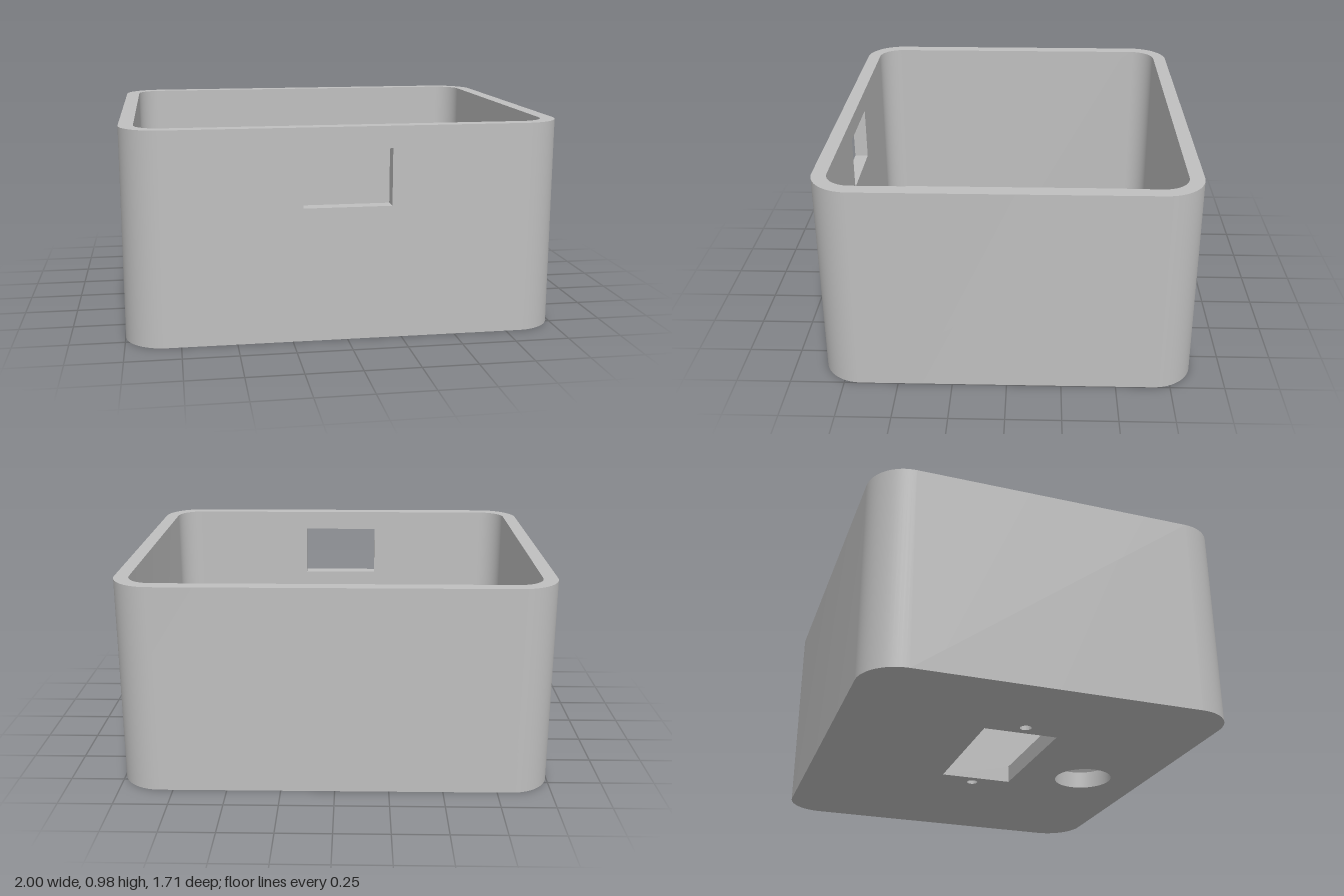
import * as THREE from 'three';
import { toCreasedNormals } from 'three/addons/utils/BufferGeometryUtils.js';

const HX = 1, HZ = 0.857, H = 0.975, R = 0.187; // outer half sizes, height, corner radius
const WALL = 0.067, FLOOR = 0.085;

// Plan points use (x, -z). Arc and outlines run counter-clockwise.
function arc(cx, cy, r, from, sweep, steps) {
  return Array.from({ length: steps + 1 }, (_, i) => {
    const a = from + (sweep * i) / steps;
    return new THREE.Vector2(cx + r * Math.cos(a), cy + r * Math.sin(a));
  });
}

// Rounded rectangle, open along its front edge
function roundedOutline(hx, hz, r) {
  const x = hx - r, y = hz - r, q = Math.PI / 2;
  return [[x, -y], [x, y], [-x, y], [-x, -y]].flatMap(
    ([cx, cy], i) => arc(cx, cy, r, (i - 1) * q, q, 16));
}

function rectangle(x0, x1, y0, y1) {
  return [[x0, y0], [x1, y0], [x1, y1], [x0, y1]].map(([x, y]) => new THREE.Vector2(x, y));
}

const circle = (x, y, r, steps) => arc(x, y, r, 0, Math.PI * 2, steps);

// Upright strip of faces along a path; counter-clockwise paths face outward
function band(points, y0, y1) {
  const pos = [];
  for (let i = 0; i < points.length - 1; i++) {
    const p = points[i], q = points[i + 1];
    pos.push(p.x, y0, -p.y, q.x, y0, -q.y, q.x, y1, -q.y);
    pos.push(p.x, y0, -p.y, q.x, y1, -q.y, p.x, y1, -p.y);
  }
  const g = new THREE.BufferGeometry();
  g.setAttribute('position', new THREE.Float32BufferAttribute(pos, 3));
  return toCreasedNormals(g, 0.6);
}

const closedLoop = (points) => [...points, points[0]];
const reversed = (points) => [...points].reverse();

// Flat sheet with holes, optionally facing backward
function sheet(outline, holes = [], flip = false) {
  const shape = new THREE.Shape(outline);
  shape.holes = holes.map((h) => new THREE.Path(h));
  const g = new THREE.ShapeGeometry(shape);
  if (flip) {
    g.setIndex(Array.from(g.index.array).reverse());
    g.computeVertexNormals();
  }
  return g;
}

export function createModel() {
  const group = new THREE.Group();
  group.name = 'enclosure';
  const grey = new THREE.MeshStandardMaterial({ color: 0xbfbfbf });
  grey.name = 'grey plastic';
  const add = (name, geometry) => {
    const mesh = new THREE.Mesh(geometry, grey);
    mesh.name = name;
    group.add(mesh);
  };
  const level = (g, y) => g.rotateX(-Math.PI / 2).translate(0, y, 0);

  const outer = roundedOutline(HX, HZ, R);
  const inner = roundedOutline(HX - WALL, HZ - WALL, R - WALL);
  const windowHole = rectangle(-0.2, 0.2, 0.615, 0.875);
  const floorHoles = [
    rectangle(-0.49, 0.175, -0.18, 0.18),
    circle(0, -0.53, 0.145, 48),
    circle(-0.555, 0, 0.028, 24),
    circle(0.24, 0, 0.028, 24),
  ];

  // Side and back walls, then the top rim
  add('outerWalls', band(outer, 0, H));
  add('innerWalls', band(reversed(inner), FLOOR, H));
  add('rim', level(sheet(outer, [inner]), H));

  // Front wall with its window
  const fx = HX - R;
  add('frontOuterFace', sheet(rectangle(-fx, fx, 0, H), [windowHole]).translate(0, 0, HZ));
  add('frontInnerFace',
    sheet(rectangle(-fx, fx, FLOOR, H), [windowHole], true).translate(0, 0, HZ - WALL));
  add('windowEdges',
    band(reversed(closedLoop(windowHole)), HZ - WALL, HZ).rotateX(Math.PI / 2));

  // Floor with a rectangular cutout, a round opening and two screw holes
  add('underside', level(sheet(outer, floorHoles, true), 0));
  add('insideFloor', level(sheet(inner, floorHoles), FLOOR));
  const names = ['cutoutEdges', 'roundOpeningEdge', 'rightScrewHole', 'leftScrewHole'];
  floorHoles.forEach((hole, i) => add(names[i], band(reversed(closedLoop(hole)), 0, FLOOR)));

  return group;
}
